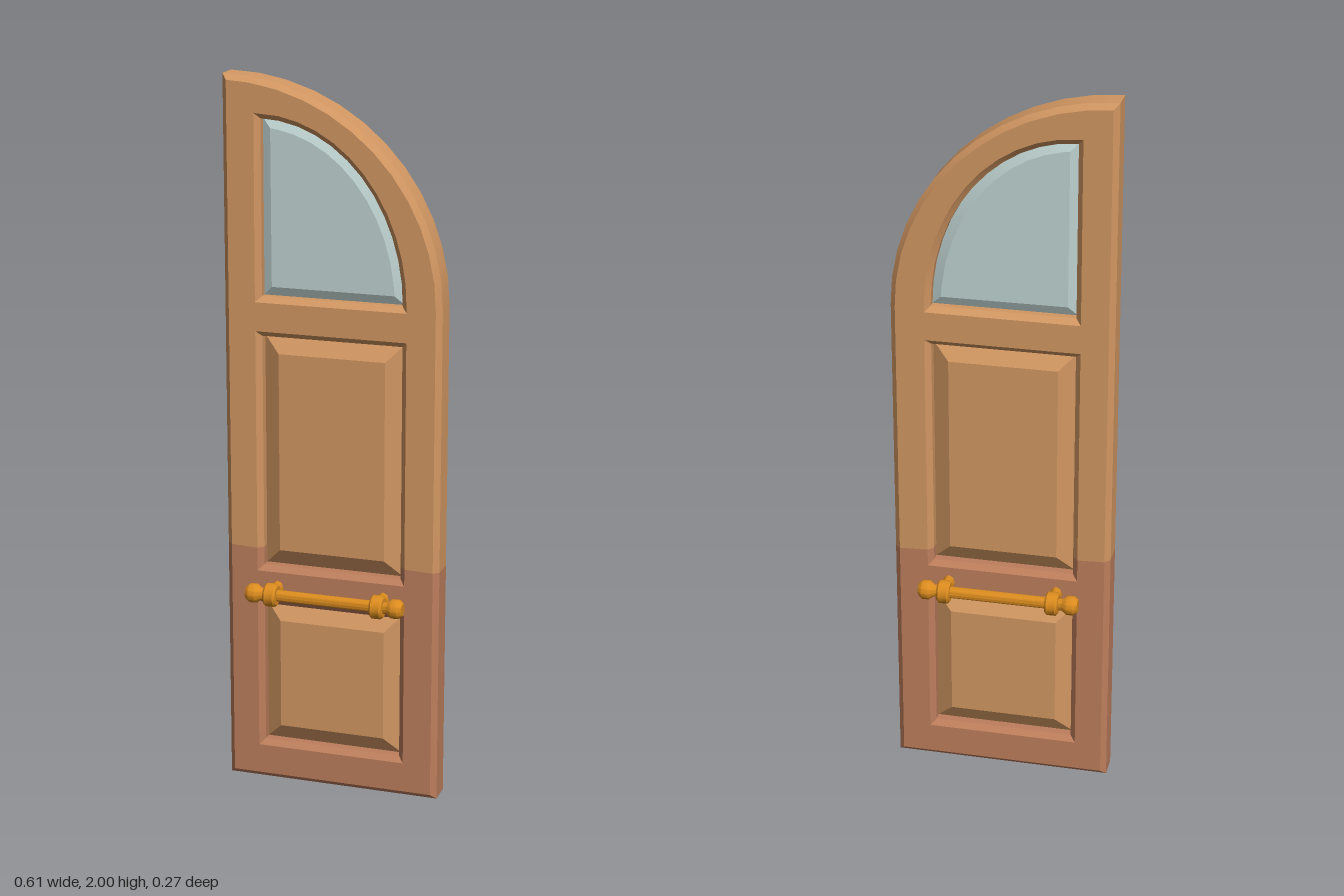
import * as THREE from 'three';
import { toCreasedNormals } from 'three/addons/utils/BufferGeometryUtils.js';

const FRONT = 0.043, BACK = -0.053, MID = (FRONT + BACK) / 2;

function material(name, color) {
  const m = new THREE.MeshStandardMaterial({ color });
  m.name = name;
  return m;
}

function mesh(name, geometry, mat) {
  const m = new THREE.Mesh(geometry, mat);
  m.name = name;
  return m;
}

function rectangle(x0, y0, x1, y1) {
  return new THREE.Shape([[x0, y0], [x1, y0], [x1, y1], [x0, y1]].map(p => new THREE.Vector2(...p)));
}

// Straight left edge, curved top falling to the right
function quarterArch(x0, y0, x1, spring, top, steps) {
  const pts = [new THREE.Vector2(x0, y0)];
  if (spring > y0) pts.push(new THREE.Vector2(x1, y0));
  for (let i = 0; i <= steps; i++) {
    const a = (i / steps) * Math.PI / 2;
    pts.push(new THREE.Vector2(x0 + (x1 - x0) * Math.cos(a), spring + (top - spring) * Math.sin(a)));
  }
  return new THREE.Shape(pts);
}

// Slab symmetric about the middle of the door, chamfered on both faces
function slab(shape, halfDepth, chamfer, chamferDepth) {
  const depth = 2 * (halfDepth - chamferDepth);
  const g = new THREE.ExtrudeGeometry(shape, {
    depth, bevelEnabled: true, bevelSegments: 1,
    bevelSize: chamfer, bevelOffset: -chamfer, bevelThickness: chamferDepth,
  });
  g.translate(0, 0, MID - depth / 2);
  return g;
}

// Keep only the side of a geometry where side(point) >= 0
function clip(geometry, side) {
  const src = geometry.index ? geometry.toNonIndexed() : geometry;
  const pos = src.attributes.position, out = [];
  for (let t = 0; t < pos.count; t += 3) {
    const tri = [0, 1, 2].map(k => new THREE.Vector3().fromBufferAttribute(pos, t + k));
    const poly = [];
    tri.forEach((a, k) => {
      const b = tri[(k + 1) % 3], da = side(a), db = side(b);
      if (da >= 0) poly.push(a);
      if (da * db < 0) poly.push(a.clone().lerp(b, da / (da - db)));
    });
    for (let k = 1; k + 1 < poly.length; k++) {
      for (const p of [poly[0], poly[k], poly[k + 1]]) out.push(p.x, p.y, p.z);
    }
  }
  const g = new THREE.BufferGeometry();
  g.setAttribute('position', new THREE.Float32BufferAttribute(out, 3));
  g.computeVertexNormals();
  return toCreasedNormals(g, 0.4);
}

// Turned part around the x axis from [x, radius] points
function turned(profile, sides) {
  const g = new THREE.LatheGeometry(profile.map(([x, r]) => new THREE.Vector2(r, x)), sides);
  g.rotateZ(-Math.PI / 2);
  return toCreasedNormals(g, 0.7);
}

function createHandle(mat) {
  const handle = new THREE.Group();
  handle.add(mesh('handleBar', turned([[-0.18, 0.016], [0.18, 0.016]], 12), mat));
  for (const s of [-1, 1]) {
    const knob = mesh('handleKnob', turned(
      [[0.165, 0.016], [0.182, 0.017], [0.195, 0.027], [0.214, 0.027], [0.225, 0.018], [0.225, 0]], 12), mat);
    if (s < 0) knob.rotation.y = Math.PI;
    const collar = mesh('handleCollar', turned(
      [[-0.018, 0], [-0.018, 0.027], [-0.012, 0.033], [0.012, 0.033], [0.018, 0.027], [0.018, 0]], 12), mat);
    collar.position.x = s * 0.153;
    const stemGeometry = new THREE.CylinderGeometry(0.016, 0.018, 0.07, 8);
    stemGeometry.rotateX(Math.PI / 2);
    const stem = mesh('handleStem', toCreasedNormals(stemGeometry, 0.9), mat);
    stem.scale.y = 1.35;
    stem.position.set(s * 0.153, 0, -0.04);
    handle.add(knob, collar, stem);
  }
  return handle;
}

export function createModel() {
  const wood = material('wood', 0xd29762);
  const lowerWood = material('reddish lower wood', 0xbd7e5c);
  const glass = material('pale glass', 0xbfd3d1);
  const brass = material('brass', 0xdc8c1e);

  const door = new THREE.Group();
  door.name = 'door';

  // Frame with three openings, in two tones
  const outline = quarterArch(-0.305, 0, 0.305, 1.4, 2, 12);
  outline.holes.push(
    quarterArch(-0.2, 1.405, 0.195, 1.405, 1.885, 12),
    rectangle(-0.2, 0.64, 0.195, 1.295),
    rectangle(-0.2, 0.115, 0.195, 0.525));
  const frame = slab(outline, 0.048, 0.015, 0.015);
  const height = p => p.y - (0.683 - 0.04 * p.x);
  door.add(mesh('upperFrame', clip(frame, height), wood));
  door.add(mesh('lowerFrame', clip(frame, p => -height(p)), lowerWood));

  // Raised panels
  door.add(mesh('upperPanel', slab(rectangle(-0.205, 0.635, 0.2, 1.3), 0.036, 0.052, 0.03), wood));
  door.add(mesh('lowerPanel', slab(rectangle(-0.205, 0.11, 0.2, 0.53), 0.036, 0.052, 0.03), wood));

  // Window pane with a chamfered rim
  const pane = slab(quarterArch(-0.205, 1.4, 0.2, 1.4, 1.89, 12), 0.024, 0.03, 0.014);
  door.add(mesh('windowPane', toCreasedNormals(pane, 0.4), glass));

  // Handles on both faces
  for (const s of [1, -1]) {
    const handle = createHandle(brass);
    handle.name = s > 0 ? 'frontHandle' : 'backHandle';
    handle.position.set(-0.003, 0.578, MID + s * 0.101);
    if (s < 0) handle.rotation.y = Math.PI;
    door.add(handle);
  }
  return door;
}
